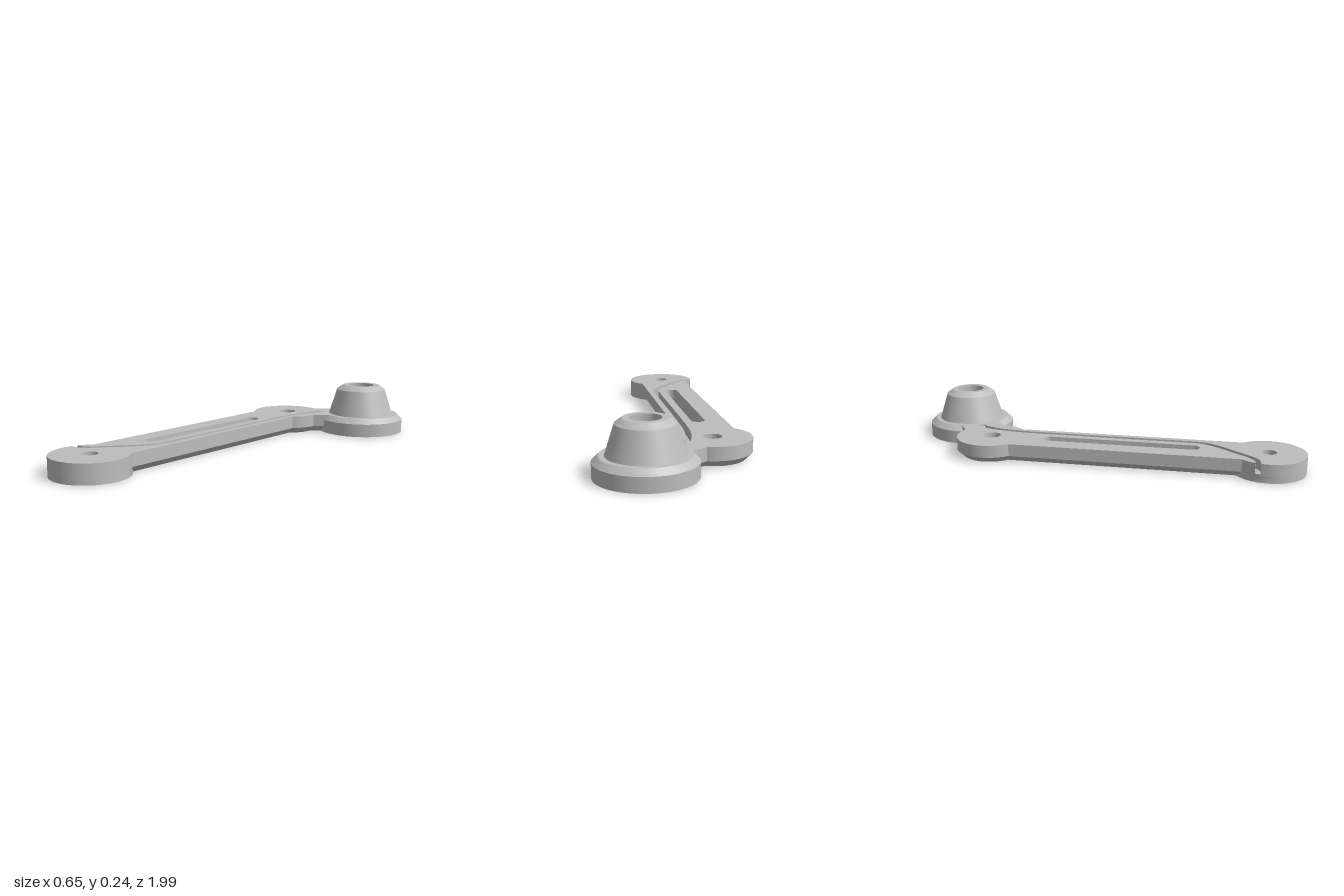
import * as THREE from 'three';
import { toCreasedNormals } from 'three/addons/utils/BufferGeometryUtils.js';

const TAU = Math.PI * 2;
const V = (x, z) => new THREE.Vector2(x, z); // plan points: x and z
const back = V(-0.155, -0.497), front = V(0.148, 0.819), cup = V(0.108, -0.784);
const TOP = 0.09, CHAMFER = 0.03, FLOOR = 0.04;

const polar = (c, r, a) => V(c.x + r * Math.cos(a), c.y + r * Math.sin(a));
const arc = (c, r, a0, a1, n = 32) =>
  Array.from({ length: n + 1 }, (_, i) => polar(c, r, a0 + (a1 - a0) * i / n));
const circle = (c, r) => arc(c, r, 0, TAU * 47 / 48, 47);
const armAngle = Math.atan2(front.y - back.y, front.x - back.x);
const neckAngle = Math.atan2(cup.y - back.y, cup.x - back.x);

// Wire channel: both edges of a smooth path from the front disc to the cup
function channelLoop() {
  const path = new THREE.CatmullRomCurve3([
    [-0.015, 0.806], [0.005, 0.8], [0.036, 0.769], [0.082, 0.681], [0.135, 0.57],
    [0.153, 0.491], [0.135, 0.396], [-0.003, -0.206], [-0.042, -0.396],
    [-0.053, -0.528], [-0.042, -0.61], [-0.026, -0.637],
  ].map(([x, z]) => new THREE.Vector3(x, 0, z)));
  const there = [], backAgain = [];
  for (let i = 0; i <= 70; i++) {
    const p = path.getPointAt(i / 70), t = path.getTangentAt(i / 70), w = 0.013;
    there.push(V(p.x - t.z * w, p.z + t.x * w));
    backAgain.unshift(V(p.x + t.z * w, p.z - t.x * w));
  }
  return [...there, ...backAgain];
}
const exitAngle = 3.208 + TAU, exitHalf = 0.075;
const channel = channelLoop();
const channelFloor = [polar(front, 0.175, exitAngle - exitHalf), ...channel,
  polar(front, 0.175, exitAngle + exitHalf)];

// Plan outline of the link, inset by d, optionally cut by the channel
function outline(d, cut) {
  const r = 0.174 - d, h = 0.125 - d, n = 0.1 - d, R = 0.175, K = 0.19;
  const f = Math.asin(h / R), b = Math.asin(h / r), k = Math.asin(n / r), e = Math.asin(n / K);
  const a0 = armAngle + Math.PI + f, a1 = armAngle + 3 * Math.PI - f;
  const frontArc = cut
    ? [...arc(front, R, a0, exitAngle - exitHalf), ...channel, ...arc(front, R, exitAngle + exitHalf, a1, 8)]
    : arc(front, R, a0, a1, 48);
  return [
    ...frontArc,
    ...arc(back, r, armAngle + b, neckAngle + TAU - k),
    ...arc(cup, K, neckAngle + Math.PI + e, neckAngle + Math.PI - e, 10),
    ...arc(back, r, neckAngle + k, armAngle - b, 10),
  ];
}

// Long slot along the arm
function slotLoop() {
  const at = (u) => polar(back, u, armAngle);
  return [
    ...arc(at(0.996), 0.032, armAngle - Math.PI / 2, armAngle + Math.PI / 2, 16),
    ...arc(at(0.297), 0.032, armAngle + Math.PI / 2, armAngle + Math.PI * 1.5, 16),
  ];
}

export function createModel() {
  const group = new THREE.Group();
  const grey = new THREE.MeshStandardMaterial({ color: 0xbdbdbd, side: THREE.DoubleSide });
  grey.name = 'plainGrey';
  const add = (name, geometry, parent = group) => {
    const mesh = new THREE.Mesh(geometry, grey);
    mesh.name = name;
    parent.add(mesh);
    return mesh;
  };

  // Ribbon between two loops of equal length
  const wall = (name, lower, y0, upper, y1) => {
    const pos = [], index = [], n = lower.length;
    lower.forEach((p, i) => {
      const j = (i + 1) % n;
      pos.push(p.x, y0, p.y, upper[i].x, y1, upper[i].y);
      index.push(2 * i, 2 * i + 1, 2 * j, 2 * j, 2 * i + 1, 2 * j + 1);
    });
    const g = new THREE.BufferGeometry();
    g.setAttribute('position', new THREE.Float32BufferAttribute(pos, 3));
    g.setIndex(index);
    add(name, toCreasedNormals(g, 0.5), link);
  };
  // Flat face with holes at height y, facing up or down
  const face = (name, loop, holes, y, up = true) => {
    const s = up ? -1 : 1;
    const flip = (pts) => pts.map((p) => V(p.x, s * p.y));
    const shape = new THREE.Shape(flip(loop));
    shape.holes = holes.map((h) => new THREE.Path(flip(h)));
    const g = new THREE.ShapeGeometry(shape);
    g.rotateX(s * Math.PI / 2).translate(0, y, 0);
    add(name, g, link);
  };

  const link = new THREE.Group();
  link.name = 'link';
  group.add(link);

  // Body of the link
  const full = outline(0), low = outline(CHAMFER), cut = outline(0, true), slot = slotLoop();
  const pins = [
    { name: 'backHole', c: back, r: 0.042, bore: 0.08, depth: 0.04 },
    { name: 'frontHole', c: front, r: 0.035, bore: 0.048, depth: 0.02 },
  ];
  face('underside', low, [slot, ...pins.map((p) => circle(p.c, p.bore))], 0, false);
  wall('bottomChamfer', low, 0, full, CHAMFER);
  wall('lowerSide', full, CHAMFER, full, FLOOR);
  wall('upperSideAndChannel', cut, FLOOR, cut, TOP);
  face('channelFloor', channelFloor, [], FLOOR);
  face('topFace', cut, [slot, ...pins.map((p) => circle(p.c, p.r))], TOP);
  wall('slotWall', slot, 0, slot, TOP);

  // Counterbored pin holes
  for (const { name, c, r, bore, depth } of pins) {
    const small = circle(c, r), big = circle(c, bore);
    wall(name + 'Counterbore', big, 0, big, depth);
    face(name + 'Shoulder', big, [small], depth, false);
    wall(name + 'Wall', small, depth, small, TOP);
  }

  // Hollow flanged cup with a central tube
  const profile = [
    [0.217, 0], [0.217, 0.065], [0.19, 0.09], [0.165, 0.09], [0.125, 0.218], [0.094, 0.24],
    [0.066, 0.24], [0.066, 0.05], [0.1, 0.05], [0.1, 0.17], [0.115, 0.17],
    [0.145, 0.06], [0.185, 0.06], [0.185, 0], [0.217, 0],
  ].map(([r, y]) => V(r, y));
  const cone = add('cup', toCreasedNormals(new THREE.LatheGeometry(profile, 72), 0.4));
  cone.position.set(cup.x, 0, cup.y);

  return group;
}
